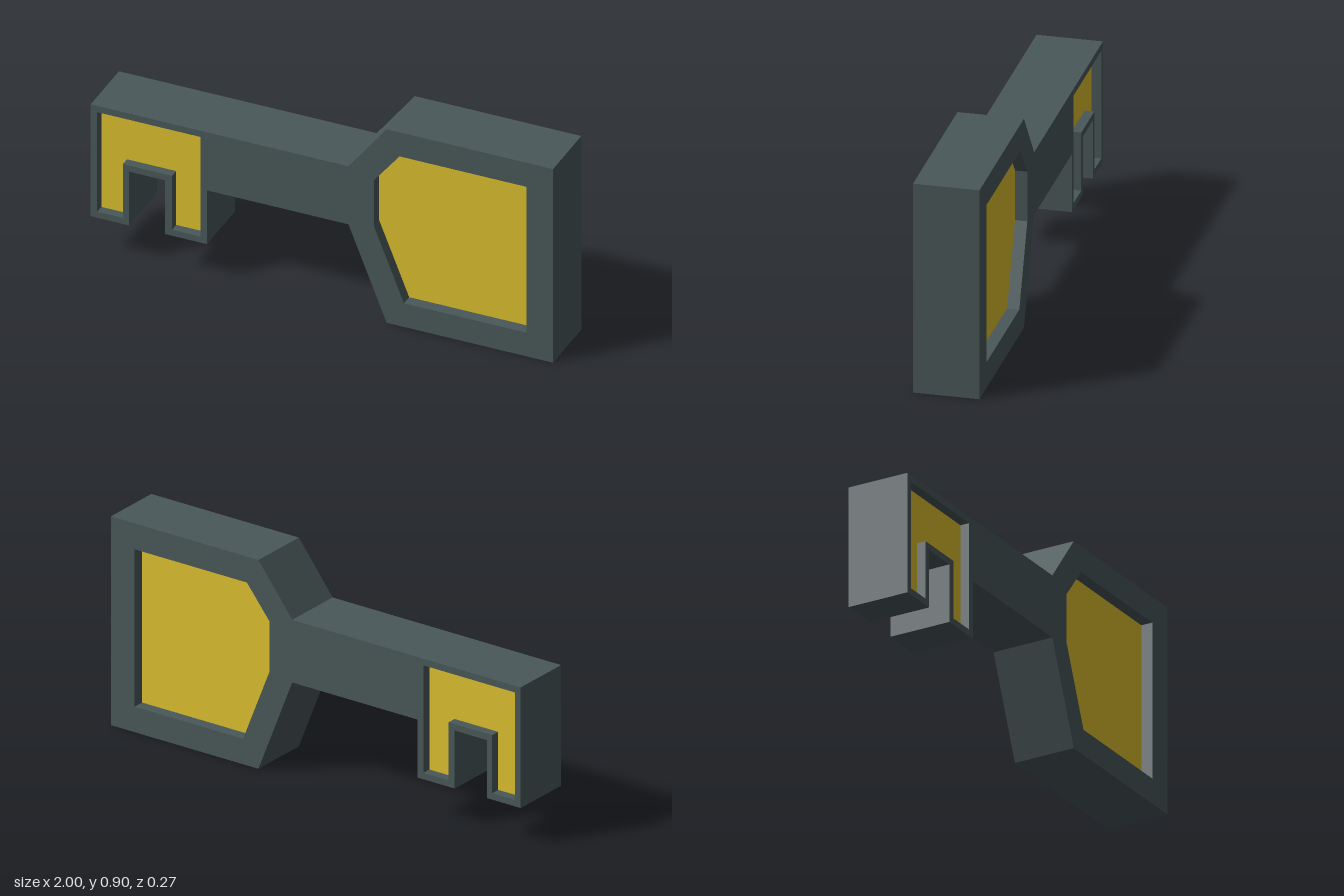
import * as THREE from 'three';

const DEPTH = 0.27;

const points = (list) => list.map(([x, y]) => new THREE.Vector2(x, y));

// Full silhouette of the key: bow on +x, bit with two teeth on -x
const outline = points([
  [-1, 0.165], [-0.835, 0.165], [-0.835, 0.415], [-0.678, 0.415], [-0.678, 0.165],
  [-0.497, 0.165], [-0.497, 0.415], [0.115, 0.415], [0.28, 0], [1, 0],
  [1, 0.9], [0.28, 0.9], [0.115, 0.685], [-1, 0.685],
]);

// Recessed areas, which pierce the frame and are filled by thinner panels
const bowInset = points([
  [0.355, 0.11], [0.884, 0.11], [0.884, 0.788], [0.336, 0.788], [0.225, 0.648], [0.225, 0.435],
]);
const bitInset = points([
  [-0.972, 0.193], [-0.861, 0.193], [-0.861, 0.443], [-0.648, 0.443],
  [-0.648, 0.193], [-0.525, 0.193], [-0.525, 0.656], [-0.972, 0.656],
]);

// Extrude a flat outline so that it is centred on z = 0
function slab(name, contour, depth, material, holes = []) {
  const shape = new THREE.Shape(contour);
  shape.holes = holes.map((h) => new THREE.Path(h));
  const geometry = new THREE.ExtrudeGeometry(shape, { depth, bevelEnabled: false });
  geometry.translate(0, 0, -depth / 2);
  const mesh = new THREE.Mesh(geometry, material);
  mesh.name = name;
  return mesh;
}

export function createModel() {
  const slate = new THREE.MeshStandardMaterial({ color: 0x4a5859 });
  const yellow = new THREE.MeshStandardMaterial({ color: 0xdcc02f });

  const key = new THREE.Group();
  key.name = 'key';
  key.add(
    slab('keyFrame', outline, DEPTH, slate, [bowInset, bitInset]),
    slab('bowPanel', bowInset, DEPTH - 0.1, yellow),
    slab('bitPanel', bitInset, DEPTH - 0.08, yellow),
  );
  return key;
}
